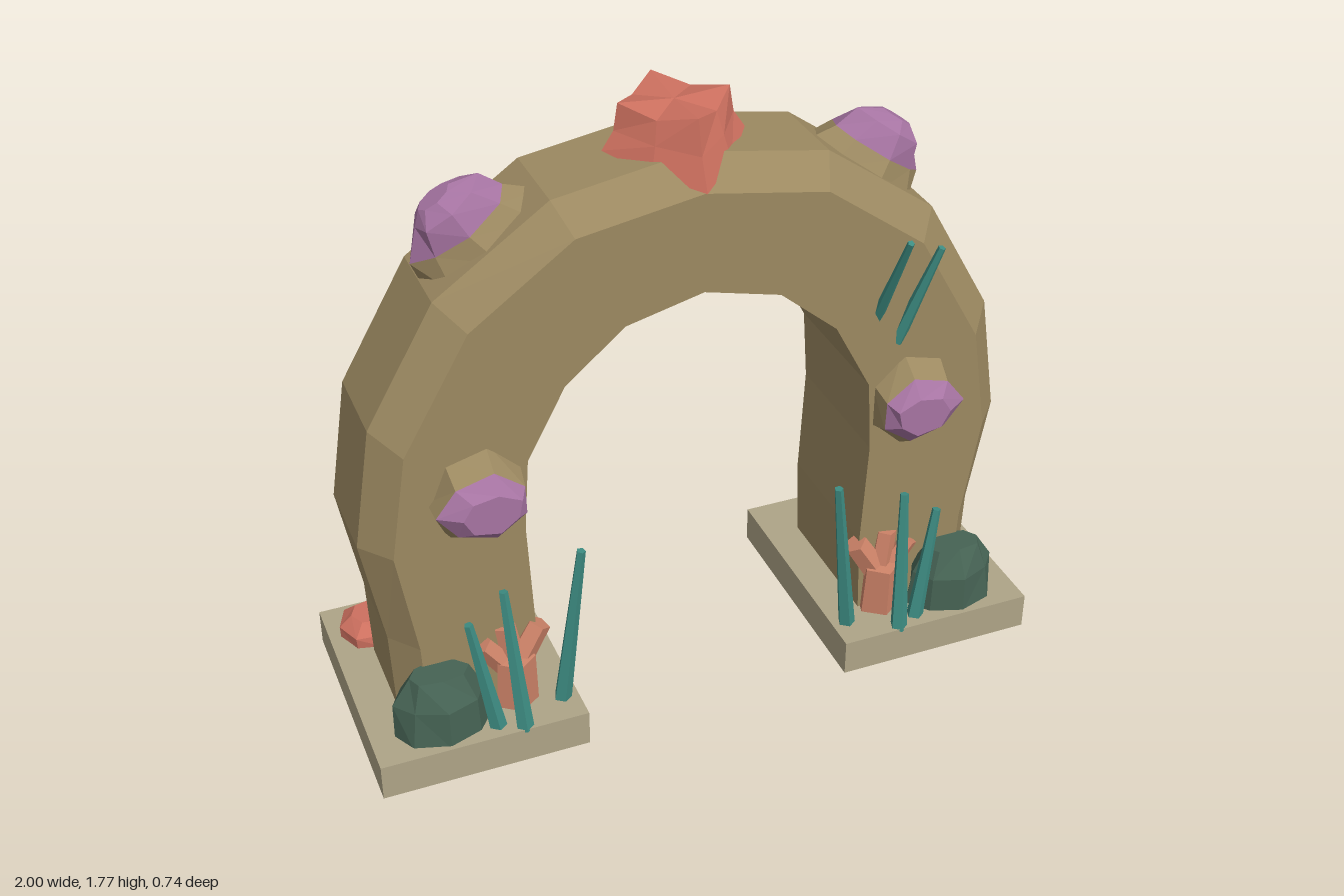
import * as THREE from 'three';

const mat = (name, color) => {
  const m = new THREE.MeshStandardMaterial({ color });
  m.name = name;
  return m;
};

// Flat-faced geometry from a list of Vector3 triangle corners
function flat(points) {
  const g = new THREE.BufferGeometry().setFromPoints(points);
  g.computeVertexNormals();
  return g;
}

// Skin over cross-sections; each runs from +x towards +z, stacked along +y
function loft(rings, caps = true) {
  const out = [], n = rings[0].length;
  for (let i = 0; i < rings.length - 1; i++) {
    for (let j = 0; j < n; j++) {
      const k = (j + 1) % n;
      const a = rings[i][j], b = rings[i][k], c = rings[i + 1][j], d = rings[i + 1][k];
      out.push(a, c, b, b, c, d);
    }
  }
  if (caps) {
    const mid = r => r.reduce((s, p) => s.add(p), new THREE.Vector3()).divideScalar(n);
    const lo = rings[0], hi = rings[rings.length - 1], cl = mid(lo), ch = mid(hi);
    for (let j = 0; j < n; j++) {
      const k = (j + 1) % n;
      out.push(cl, lo[j], lo[k], ch, hi[k], hi[j]);
    }
  }
  return flat(out);
}

// One faceted ring: height, radii, centre shift in x, and roughness
function ring(sides, y, rx, rz, dx = 0, rough = 0) {
  return Array.from({ length: sides }, (_, j) => {
    const a = (j / sides) * Math.PI * 2;
    const r = 1 + rough * Math.sin(j * 2.4 + y * 40);
    return new THREE.Vector3(dx + Math.cos(a) * rx * r, y, Math.sin(a) * rz * r);
  });
}

// Tapered stick from point a to point b
function stick(a, b, r0, r1, sides) {
  const p = new THREE.Vector3(...a), q = new THREE.Vector3(...b);
  const dir = q.clone().sub(p), len = dir.length();
  const g = new THREE.CylinderGeometry(r1, r0, len, sides).toNonIndexed();
  g.computeVertexNormals();
  g.applyQuaternion(new THREE.Quaternion().setFromUnitVectors(new THREE.Vector3(0, 1, 0), dir.normalize()));
  const c = p.add(q).multiplyScalar(0.5);
  return g.translate(c.x, c.y, c.z);
}

// Mirror a geometry in x, keeping its faces outward
function mirror(g) {
  const src = (g.index ? g.toNonIndexed() : g).getAttribute('position'), pts = [];
  for (let i = 0; i < src.count; i += 3) {
    for (const k of [0, 2, 1]) {
      const v = new THREE.Vector3().fromBufferAttribute(src, i + k);
      v.x *= -1;
      pts.push(v);
    }
  }
  return flat(pts);
}

export function createModel() {
  const root = new THREE.Group();
  root.name = 'coralArch';
  const stone = mat('archStone', 0x9c8961);
  const slab = mat('paleStone', 0xaea487);
  const red = mat('redCoral', 0xcd705f);
  const purple = mat('purpleCoral', 0xa674a2);
  const moss = mat('darkGreen', 0x466354);
  const salmon = mat('salmonCoral', 0xcf8469);
  const teal = mat('tealGrass', 0x3d8c82);

  const add = (name, g, m) => {
    const mesh = new THREE.Mesh(g, m);
    mesh.name = name;
    root.add(mesh);
  };
  const pair = (name, g, m) => {
    add(name + 'Left', g, m);
    add(name + 'Right', mirror(g), m);
  };

  // Arch: [outer x, y, chamfer x, y, inner x, y] from foot to crown
  const half = [
    [0.89, 0.08, 0.82, 0.08, 0.51, 0.08],
    [0.90, 0.36, 0.83, 0.36, 0.50, 0.36],
    [0.957, 0.685, 0.88, 0.68, 0.515, 0.685],
    [0.90, 1.04, 0.83, 0.99, 0.50, 0.90],
    [0.705, 1.38, 0.64, 1.32, 0.39, 1.107],
    [0.385, 1.605, 0.35, 1.53, 0.22, 1.25],
    [0, 1.67, 0, 1.59, 0, 1.305],
  ];
  const other = half.slice(0, -1).reverse().map(s => s.map((v, i) => (i % 2 ? v : -v)));
  const V = (x, y, z) => new THREE.Vector3(x, y, z);
  add('arch', loft([...half, ...other].map(([ox, oy, cx, cy, ix, iy]) => [
    V(ox, oy, -0.13), V(ox, oy, 0.13), V(cx, cy, 0.215),
    V(ix, iy, 0.215), V(ix, iy, -0.213), V(cx, cy, -0.213),
  ])), stone);

  // Foot slabs
  pair('footSlab', new THREE.BoxGeometry(0.6, 0.11, 0.72).translate(0.7, 0.055, 0), slab);

  // Crown coral: four-pointed flaring cup
  const star = (rx, rz, yTip, f, yDip) => ring(8, 0, rx, rz).map((p, j) => {
    if (j % 2) p.multiplyScalar(f);
    p.y = j % 2 ? yDip : j % 4 ? yTip[1] : yTip[0];
    return p;
  });
  add('crownCoral', loft([
    star(0.2, 0.228, [1.65, 1.595], 0.78, 1.62),
    star(0.167, 0.19, [1.70, 1.68], 0.8, 1.69),
    star(0.155, 0.165, [1.775, 1.775], 0.75, 1.75),
  ]), red);

  // Purple knobs with stone skirts, on the shoulders and the leg fronts
  const knob = (name, skirt, cap, place) => {
    pair(name + 'Skirt', place(loft(skirt, false)), stone);
    pair(name, place(loft(cap)), purple);
  };
  const lip = ring(8, 0.05, 0.155, 0.09, 0.015, 0.08);
  knob('shoulderCoral',
    [ring(8, -0.04, 0.2, 0.14), lip],
    [lip, ring(8, 0.12, 0.105, 0.075, 0.01, 0.08), ring(8, 0.152, 0.05, 0.035, 0.02)],
    g => g.rotateZ(-0.612).translate(0.545, 1.49, 0));
  const lip2 = ring(7, 0.06, 0.128, 0.1, 0, 0.06);
  knob('legCoral',
    [ring(7, -0.02, 0.135, 0.16), lip2],
    [lip2, ring(7, 0.1, 0.085, 0.06, -0.01, 0.08)],
    g => g.rotateX(Math.PI / 2).translate(0.64, 0.825, 0.215));

  // Mossy rocks beside the front of the legs and clinging to the back
  pair('frontRock', loft([
    ring(8, 0.1, 0.14, 0.095, 0, 0.04), ring(8, 0.22, 0.13, 0.088, 0, 0.06),
    ring(8, 0.3, 0.085, 0.05, 0, 0.08),
  ]).translate(0.795, 0, 0.25), moss);
  pair('backRock', loft([
    ring(7, 0.375, 0.03, 0.035), ring(7, 0.46, 0.075, 0.09, 0, 0.05),
    ring(7, 0.55, 0.1, 0.105, 0, 0.05), ring(7, 0.62, 0.055, 0.05),
  ]).translate(0.67, 0, -0.21), moss);

  // Low red rocks at the back outer corners
  pair('redRock', loft([
    ring(7, 0.1, 0.1, 0.09, 0, 0.06), ring(7, 0.145, 0.1, 0.09, 0, 0.06),
    ring(7, 0.178, 0.06, 0.055),
  ]).translate(0.87, 0, -0.225), red);

  // Stubby branching corals: [from, to, thickness]
  const branches = {
    frontCoral: [
      [[0.57, 0.1, 0.22], [0.57, 0.27, 0.23], 0.065],
      [[0.57, 0.22, 0.22], [0.49, 0.35, 0.21], 0.04],
      [[0.58, 0.22, 0.22], [0.66, 0.33, 0.22], 0.035],
      [[0.57, 0.24, 0.22], [0.59, 0.37, 0.21], 0.035],
    ],
    backCoral: [
      [[0.68, 0.1, -0.25], [0.69, 0.26, -0.27], 0.065],
      [[0.69, 0.22, -0.26], [0.71, 0.36, -0.295], 0.055],
      [[0.68, 0.18, -0.28], [0.63, 0.24, -0.345], 0.04],
      [[0.68, 0.2, -0.25], [0.765, 0.28, -0.31], 0.035],
    ],
  };
  for (const [name, list] of Object.entries(branches)) {
    list.forEach(([a, b, r], i) => pair(`${name}Branch${i + 1}`, stick(a, b, r, r * 0.9, 5), salmon));
  }

  // Grass blades at both feet
  [
    [[0.65, 0.1, 0.31], [0.71, 0.465, 0.285]],
    [[0.582, 0.1, 0.34], [0.605, 0.54, 0.275]],
    [[0.447, 0.1, 0.265], [0.385, 0.625, 0.288]],
  ].forEach(([a, b], i) => pair(`grassBlade${i + 1}`, stick(a, b, 0.026, 0.013, 5), teal));

  // Two loose blades high on the left side of the arch
  add('highBlade1', stick([0.52, 1.09, 0.19], [0.53, 1.405, 0.34], 0.018, 0.01, 5), teal);
  add('highBlade2', stick([0.585, 1.02, 0.2], [0.665, 1.33, 0.27], 0.022, 0.011, 5), teal);

  return root;
}
